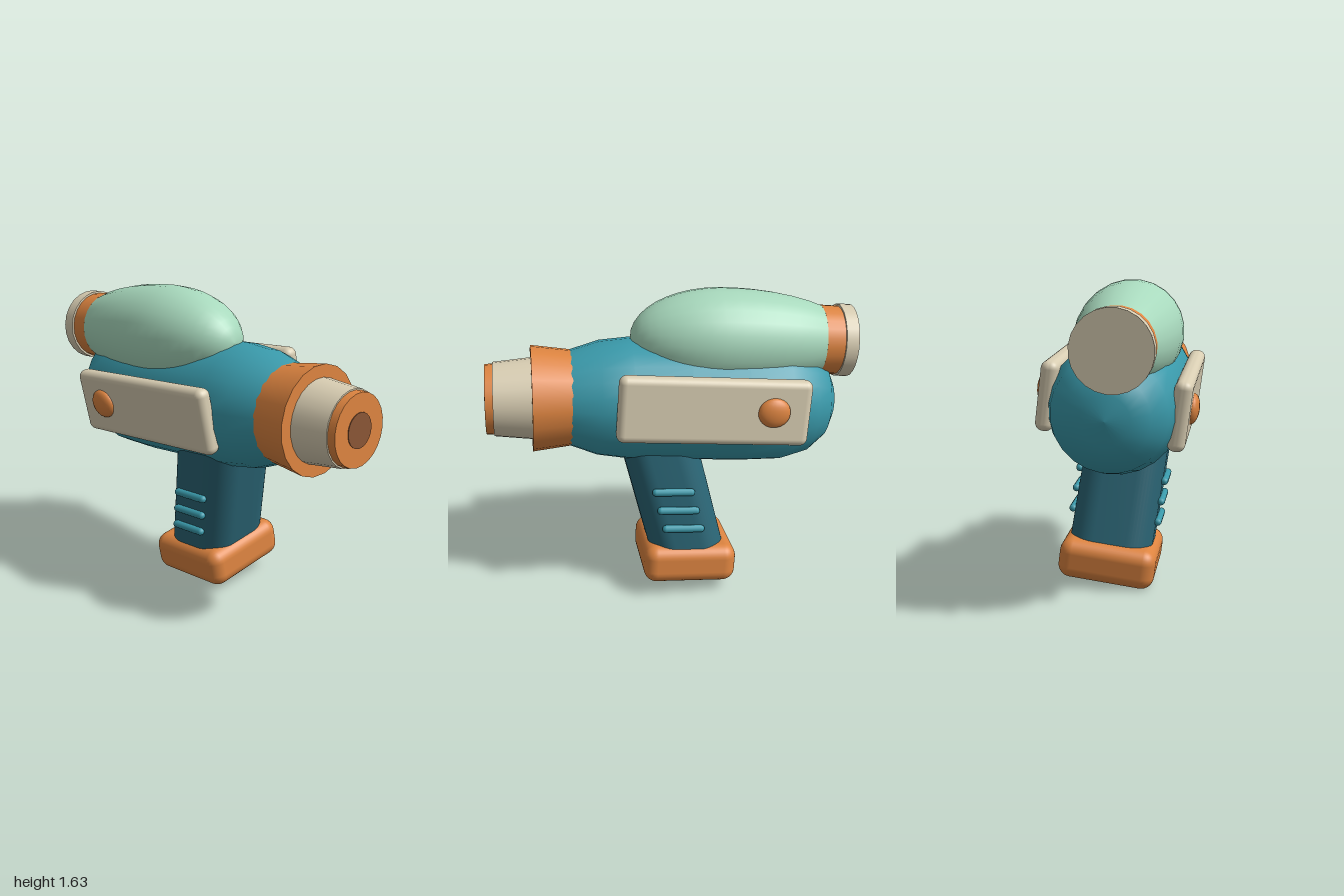
import * as THREE from 'three';
import { toCreasedNormals } from 'three/addons/utils/BufferGeometryUtils.js';
import { RoundedBoxGeometry } from 'three/addons/geometries/RoundedBoxGeometry.js';

const mat = (name, color) => new THREE.MeshStandardMaterial({ name, color });

export function createModel() {
  const teal = mat('teal', 0x3a9aab);
  const darkTeal = mat('darkTeal', 0x2b6676);
  const mint = mat('mint', 0xa8d9bd);
  const cream = mat('cream', 0xd8cdb2);
  const orange = mat('orange', 0xdd8440);
  const brown = mat('brown', 0x8a5535);

  const model = new THREE.Group();
  model.name = 'toyBlaster';

  // The toy is built along its own x axis, then turned, pitched and rolled as a whole
  const toy = new THREE.Group();
  toy.name = 'blaster';
  const rad = THREE.MathUtils.degToRad;
  toy.rotation.set(rad(8), rad(-11.5), rad(4.5), 'YZX');
  toy.position.set(-0.25, 1.01, -0.035);
  model.add(toy);

  const add = (parent, name, geometry, material, x = 0, y = 0, z = 0) => {
    const mesh = new THREE.Mesh(geometry, material);
    mesh.name = name;
    mesh.position.set(x, y, z);
    parent.add(mesh);
    return mesh;
  };
  // Revolved solid along x from [x, radius] pairs
  const spin = (profile, sides = 24) => {
    const points = profile.map(([x, r]) => new THREE.Vector2(r, x));
    return new THREE.LatheGeometry(points, sides).rotateZ(-Math.PI / 2);
  };
  // Straight or tapered drum along x
  const drum = (x0, x1, r0, r1, sides = 24) =>
    new THREE.CylinderGeometry(r1, r0, x1 - x0, sides).rotateZ(-Math.PI / 2).translate((x0 + x1) / 2, 0, 0);

  // Body
  add(toy, 'body', spin([
    [-0.63, 0], [-0.615, 0.12], [-0.57, 0.21], [-0.48, 0.285], [-0.33, 0.33],
    [-0.1, 0.337], [0.2, 0.33], [0.5, 0.325], [0.66, 0.305], [0.82, 0.25],
  ]), teal);

  // Barrel, dipping slightly from the body axis
  const barrel = new THREE.Group();
  barrel.name = 'barrel';
  barrel.position.x = 0.8;
  barrel.rotation.z = rad(-1.8);
  toy.add(barrel);
  add(barrel, 'barrelCollar', drum(0, 0.208, 0.254, 0.28, 20), orange);
  add(barrel, 'barrelTube', drum(0.2, 0.405, 0.216, 0.194), cream);
  add(barrel, 'muzzle', drum(0.4, 0.445, 0.187, 0.183), orange);
  add(barrel, 'muzzleHole', drum(0.442, 0.449, 0.088, 0.088), brown);

  // Tank on top: blunt nose, slower taper to the rear
  const tank = new THREE.Group();
  tank.name = 'tankAssembly';
  tank.position.y = 0.335;
  toy.add(tank);
  const tankProfile = [];
  for (let i = 0; i <= 16; i++) {
    const a = -0.812 + (i / 16) * (0.812 + Math.PI / 2);
    const x = Math.sin(a) * (a < 0 ? 0.73 : 0.5);
    tankProfile.push([x, i === 16 ? 0 : 0.268 * Math.cos(a)]);
  }
  add(tank, 'tank', spin(tankProfile), mint);
  add(tank, 'tankCollar', drum(-0.63, -0.52, 0.184, 0.188), orange);
  add(tank, 'tankCap', drum(-0.69, -0.62, 0.195, 0.195), cream);

  // Side panels with a button each
  for (const side of [1, -1]) {
    const panel = new THREE.Group();
    panel.name = side > 0 ? 'leftPanel' : 'rightPanel';
    panel.position.set(0.09, 0.03, side * 0.325);
    panel.rotation.z = rad(1);
    toy.add(panel);
    add(panel, 'sidePlate', new RoundedBoxGeometry(1, 0.35, 0.09, 4, 0.04), cream);
    const button = add(panel, 'button', new THREE.SphereGeometry(0.085, 20, 12), orange, -0.3, 0.01, side * 0.045);
    button.scale.set(1, 0.92, 0.45);
  }

  // Grip: rounded column sheared backwards
  const a = 0.21, b = 0.225, r = 0.14;
  const outline = new THREE.Shape();
  outline.absarc(a - r, b - r, r, 0, Math.PI / 2);
  outline.absarc(r - a, b - r, r, Math.PI / 2, Math.PI);
  outline.absarc(r - a, r - b, r, Math.PI, Math.PI * 1.5);
  outline.absarc(a - r, r - b, r, Math.PI * 1.5, Math.PI * 2);
  outline.closePath();
  const lean = 0.307;
  const gripX = (y) => 0.4 + lean * y;
  const column = new THREE.ExtrudeGeometry(outline, { depth: 0.72, bevelEnabled: false, curveSegments: 6 });
  column.rotateX(-Math.PI / 2);
  column.applyMatrix4(new THREE.Matrix4().set(1, lean, 0, 0, 0, 1, 0, 0, 0, 0, 1, 0, 0, 0, 0, 1));
  add(toy, 'grip', toCreasedNormals(column, 0.7), darkTeal, gripX(-0.87), -0.87, 0.03);

  // Finger ridges on both sides of the grip
  const ridge = new THREE.CapsuleGeometry(0.021, 0.19, 5, 10).rotateZ(Math.PI / 2);
  for (const side of [1, -1]) {
    for (const y of [-0.466, -0.573, -0.68]) add(toy, 'gripRidge', ridge, teal, gripX(y), y, 0.03 + side * 0.235);
  }

  // Foot of the grip
  add(toy, 'gripBase', new RoundedBoxGeometry(0.51, 0.215, 0.52, 4, 0.07), orange, 0.135, -0.905, 0.035);

  return model;
}
